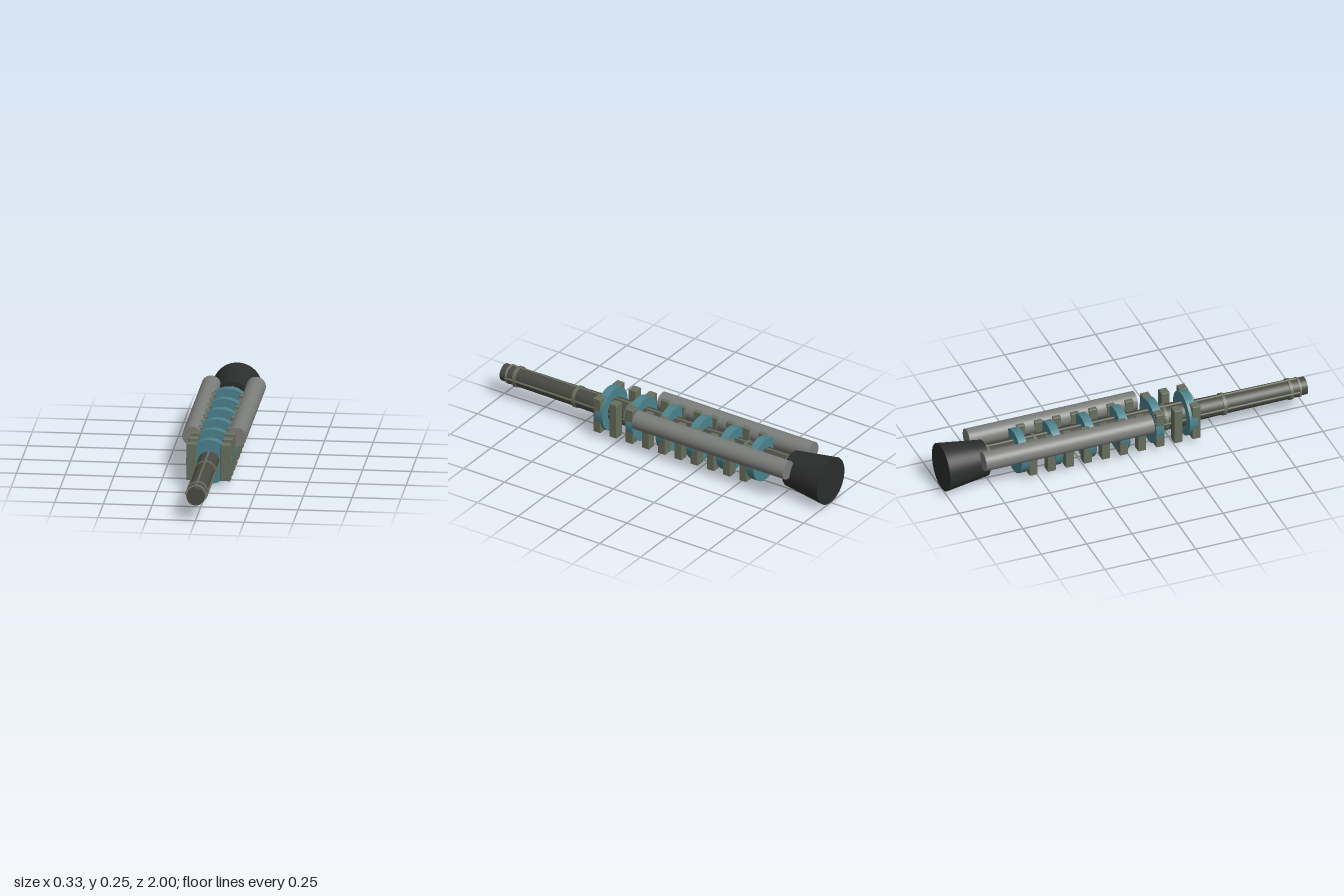
import * as THREE from 'three';
import { RoundedBoxGeometry } from 'three/addons/geometries/RoundedBoxGeometry.js';

const AXIS_Y = 0.127;
const mat = (color) => new THREE.MeshStandardMaterial({ color });
const dark = mat(0x4a4a44), teal = mat(0x4c838e), olive = mat(0x686f5d);
const grey = mat(0x7c7e7b), black = mat(0x2c2e2d);

export function createModel() {
  const model = new THREE.Group();

  const add = (name, geometry, material, x, y, z) => {
    const mesh = new THREE.Mesh(geometry, material);
    mesh.name = name;
    mesh.position.set(x, y, z);
    model.add(mesh);
    return mesh;
  };

  // Cylinder along z, between its front and back ends
  const tube = (name, material, zFront, zBack, rFront, rBack = rFront, x = 0, y = AXIS_Y, sides = 48) => {
    const geometry = new THREE.CylinderGeometry(rFront, rBack, zFront - zBack, sides);
    geometry.rotateX(Math.PI / 2);
    return add(name, geometry, material, x, y, (zFront + zBack) / 2);
  };

  // Stepped central core, front to back
  tube('barrelTip', dark, 1, 0.95, 0.046);
  tube('barrelLip', grey, 0.965, 0.955, 0.052);
  tube('frontBarrel', dark, 0.956, 0.6, 0.05, 0.052);
  tube('rearBarrel', dark, 0.6, 0.34, 0.052, 0.056);
  tube('core', dark, 0.34, -0.78, 0.066);

  // Narrow clamping rings
  for (const [z, r] of [[0.91, 0.056], [0.545, 0.058], [0.22, 0.069], [-0.49, 0.069], [-0.75, 0.069]]) {
    tube('clampRing', olive, z + 0.009, z - 0.009, r);
  }

  // Four slim rods along the barrel and core
  for (let i = 0; i < 4; i++) {
    const c = Math.cos(i * Math.PI / 2), s = Math.sin(i * Math.PI / 2);
    tube('barrelRod', olive, 0.95, 0.34, 0.006, 0.006, c * 0.053, AXIS_Y + s * 0.053, 10);
    tube('coreRod', olive, 0.34, -0.77, 0.006, 0.006, c * 0.065, AXIS_Y + s * 0.065, 10);
  }

  // Large discs spaced along the core
  for (let i = 0; i < 6; i++) {
    const z = 0.344 - i * 0.185;
    tube('disc', teal, z + 0.022, z - 0.022, 0.117);
  }

  // Paired upright bars on both sides
  for (let i = 0; i < 10; i++) {
    for (const side of [-1, 1]) {
      add('sideBar', new RoundedBoxGeometry(0.051, 0.195, 0.045, 2, 0.004), olive,
        side * 0.0875, 0.128, 0.36 - i * 0.0995);
    }
  }

  // Long side tanks
  for (const side of [-1, 1]) {
    tube('sideTank', grey, 0.11, -0.815, 0.05, 0.05, side * 0.115, 0.186);
  }

  // Flared rear nozzle
  tube('nozzle', black, -0.765, -1, 0.094, 0.127);

  return model;
}
